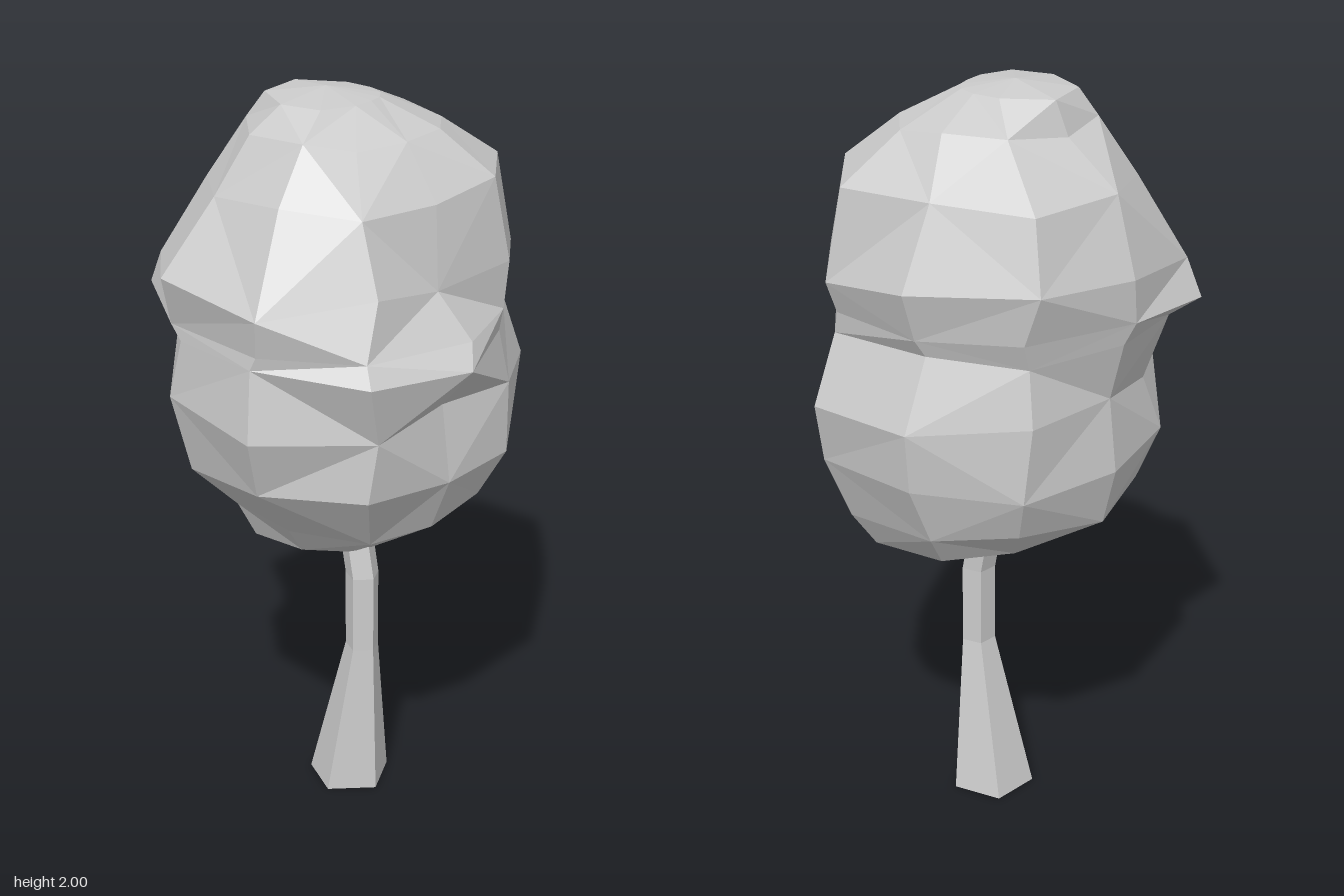
import * as THREE from 'three';

// Closed faceted skin over a stack of rings (each ring: points running from +x towards +z)
function loft(rings, bottom, top) {
  const n = rings[0].length;
  const pos = [];
  const tri = (...pts) => pts.forEach((p) => pos.push(p.x, p.y, p.z));
  for (let i = 0; i < rings.length - 1; i++) {
    for (let j = 0; j < n; j++) {
      const k = (j + 1) % n;
      const a = rings[i][j], b = rings[i][k], c = rings[i + 1][j], d = rings[i + 1][k];
      // alternate the diagonal for an irregular facet pattern
      if ((i + j) % 2) { tri(a, c, b); tri(b, c, d); }
      else { tri(a, d, b); tri(a, c, d); }
    }
  }
  const low = rings[0], high = rings[rings.length - 1];
  for (let j = 0; j < n; j++) {
    const k = (j + 1) % n;
    tri(bottom, low[j], low[k]);
    tri(top, high[k], high[j]);
  }
  const geo = new THREE.BufferGeometry();
  geo.setAttribute('position', new THREE.Float32BufferAttribute(pos, 3));
  geo.computeVertexNormals();
  return geo;
}

function seeded(seed) {
  return () => {
    seed = (seed * 16807) % 2147483647;
    return seed / 2147483647 - 0.5;
  };
}

export function createModel() {
  const group = new THREE.Group();
  const material = new THREE.MeshStandardMaterial({ color: 0xcccccc, flatShading: true });
  const add = (name, geo) => {
    const mesh = new THREE.Mesh(geo, material);
    mesh.name = name;
    group.add(mesh);
  };

  // Trunk: five sides, flared foot, slight bend; [y, centre x, radius]
  const trunkZ = -0.025;
  const trunk = [[0, -0.033, 0.115], [0.44, 0.018, 0.047], [0.66, 0.018, 0.047], [0.82, -0.015, 0.047]];
  const trunkRings = trunk.map(([y, cx, r]) =>
    Array.from({ length: 5 }, (_, j) => {
      const a = 0.05 + (j / 5) * Math.PI * 2;
      return new THREE.Vector3(cx + r * Math.cos(a), y, trunkZ + r * Math.sin(a));
    }));
  add('trunk', loft(trunkRings, new THREE.Vector3(-0.033, 0, trunkZ), new THREE.Vector3(-0.015, 0.82, trunkZ)));

  // Crown: height and radii of each cross-section, every 36 degrees
  const sections = [
    [0.82, [0.13, 0.16, 0.24, 0.27, 0.24, 0.20, 0.25, 0.33, 0.34, 0.22]],
    [0.92, [0.29, 0.31, 0.31, 0.32, 0.39, 0.38, 0.40, 0.40, 0.40, 0.34]],
    [1.06, [0.35, 0.43, 0.45, 0.44, 0.45, 0.42, 0.45, 0.46, 0.47, 0.41]],
    [1.25, [0.32, 0.43, 0.51, 0.49, 0.40, 0.40, 0.45, 0.48, 0.50, 0.41]],
    [1.41, [0.46, 0.49, 0.48, 0.47, 0.46, 0.44, 0.42, 0.41, 0.43, 0.38]],
    [1.46, [0.41, 0.46, 0.48, 0.48, 0.54, 0.46, 0.44, 0.43, 0.43, 0.39]],
    [1.57, [0.32, 0.40, 0.50, 0.51, 0.50, 0.46, 0.47, 0.47, 0.46, 0.40]],
    [1.78, [0.29, 0.33, 0.36, 0.36, 0.37, 0.39, 0.42, 0.39, 0.42, 0.36]],
    [1.90, [0.19, 0.20, 0.25, 0.27, 0.27, 0.25, 0.24, 0.25, 0.25, 0.22]],
    [1.98, [0.07, 0.10, 0.16, 0.19, 0.22, 0.22, 0.14, 0.10, 0.08, 0.07]],
  ];
  const rand = seeded(41);
  const crownRings = sections.map(([y, radii], i) =>
    radii.map((r, j) => {
      const a = (j / radii.length) * Math.PI * 2 + rand() * 0.12;
      const lift = i === sections.length - 1 ? 0 : rand() * 0.04;
      return new THREE.Vector3(r * Math.cos(a), y + lift, r * Math.sin(a));
    }));
  add('crown', loft(crownRings, new THREE.Vector3(0, 0.72, -0.02), new THREE.Vector3(-0.06, 2, 0.03)));

  return group;
}
